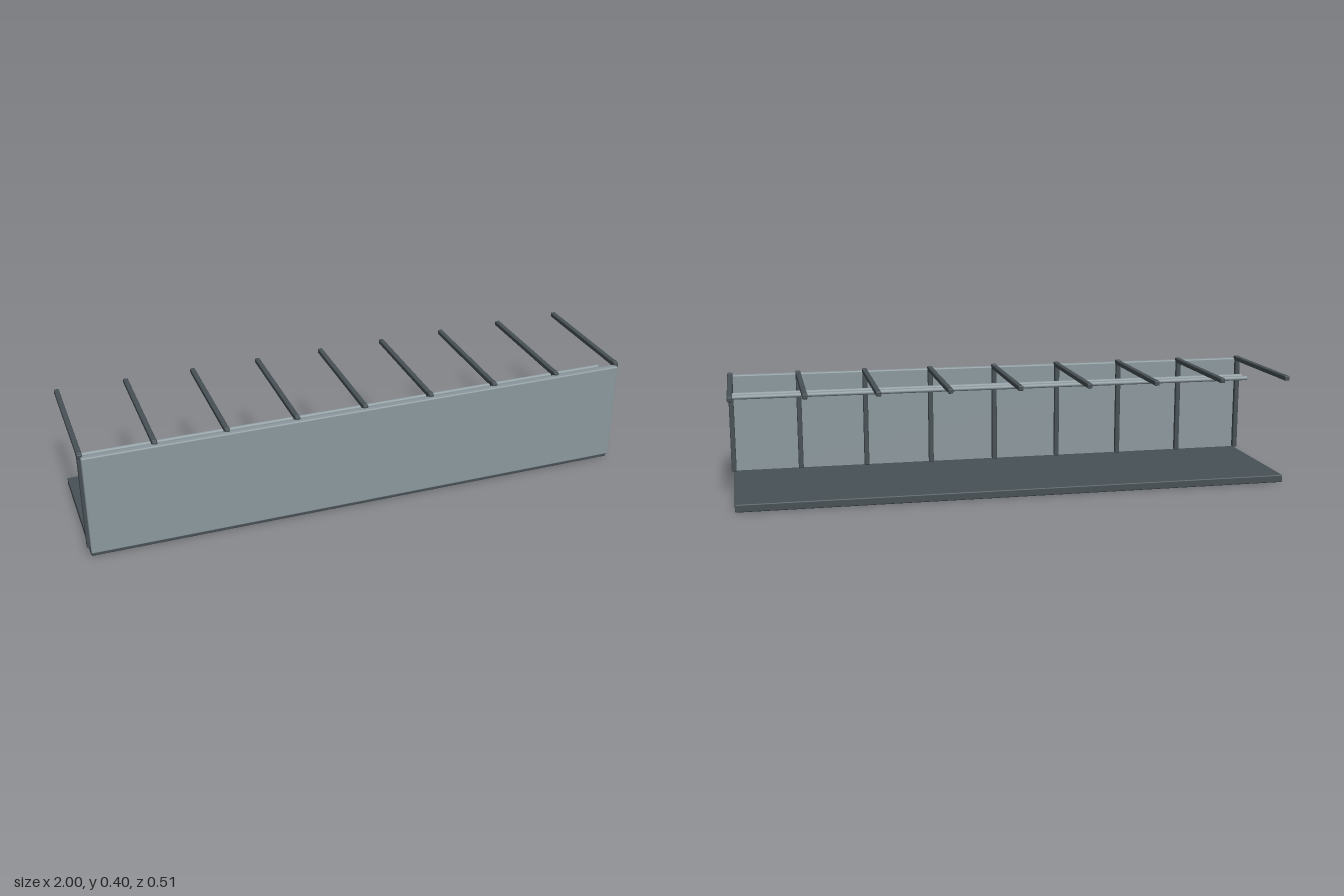
import * as THREE from 'three';
import { RoundedBoxGeometry } from 'three/addons/geometries/RoundedBoxGeometry.js';

export function createModel() {
  const group = new THREE.Group();
  const dark = new THREE.MeshStandardMaterial({ color: 0x485156 });
  dark.name = 'dark grey';
  const light = new THREE.MeshStandardMaterial({ color: 0x8c999e });
  light.name = 'light grey';

  // Softly bevelled box given by its minimum and maximum corners
  function box(name, material, min, max, bevel) {
    const size = max.map((v, i) => v - min[i]);
    const mesh = new THREE.Mesh(new RoundedBoxGeometry(...size, 2, bevel), material);
    mesh.position.set(...max.map((v, i) => (v + min[i]) / 2));
    mesh.name = name;
    group.add(mesh);
  }

  // Base shelf and front panel
  box('baseShelf', dark, [-0.99, 0.002, -0.254], [0.99, 0.03, 0.241], 0.004);
  box('frontPanel', light, [-0.99, 0.02, 0.231], [0.99, 0.391, 0.255], 0.005);

  // Evenly spaced posts behind the panel, each with a top arm reaching back
  const count = 9, half = 0.009;
  for (let i = 0; i < count; i++) {
    const x = -0.991 + (1.982 * i) / (count - 1);
    box('post', dark, [x - half, 0.03, 0.213], [x + half, 0.402, 0.232], 0.004);
    box('topArm', dark, [x - half, 0.382, -0.254], [x + half, 0.4, 0.241], 0.004);
  }

  // Two round rails running the full length
  for (const z of [0.168, 0.118]) {
    const rail = new THREE.Mesh(new THREE.CylinderGeometry(0.008, 0.008, 1.98, 20), light);
    rail.rotation.z = Math.PI / 2;
    rail.position.set(0, 0.329, z);
    rail.name = 'rail';
    group.add(rail);
  }
  return group;
}
